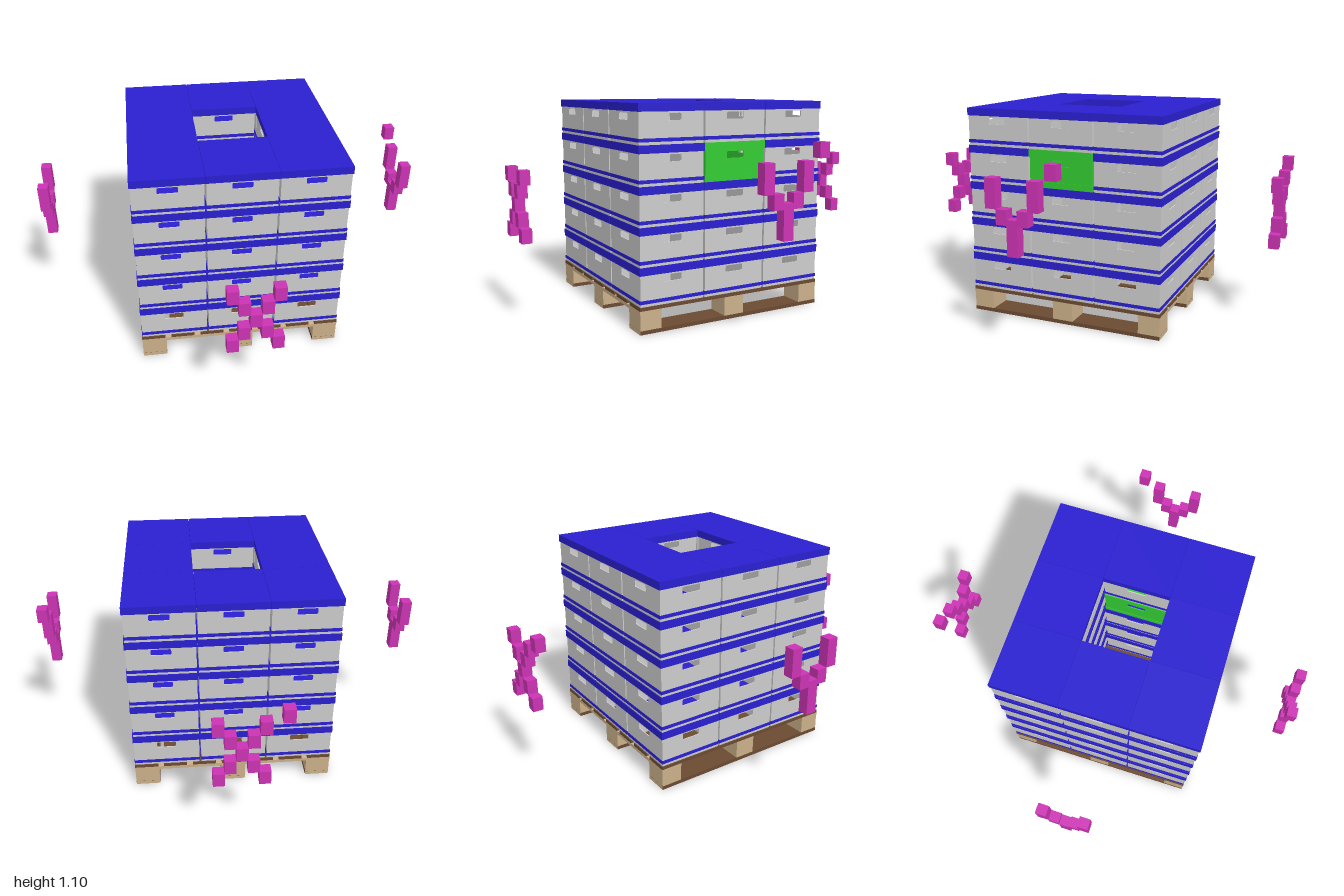
import * as THREE from 'three';
import { mergeGeometries } from 'three/addons/utils/BufferGeometryUtils.js';

const mat = (name, color, side = THREE.FrontSide) => {
  const m = new THREE.MeshStandardMaterial({ color, side });
  m.name = name;
  return m;
};

const PITCH = 0.354;      // spacing of box columns
const LAYER = 0.193;      // height of one box with lid
const BASE = 0.136;       // top of the pallet
const WALL = 0.006;

// Merged box list: each entry is [w, h, d, x, y, z]
const boxes = (list) => mergeGeometries(list.map(([w, h, d, x, y, z]) =>
  new THREE.BoxGeometry(w, h, d).translate(x, y, z)));

// Four crate walls, each with a rounded hand hole
function crateGeometry(size, height) {
  const wall = (w) => {
    const s = new THREE.Shape();
    s.moveTo(-w / 2, 0); s.lineTo(w / 2, 0); s.lineTo(w / 2, height); s.lineTo(-w / 2, height);
    s.closePath();
    const hx = 0.05, y0 = 0.112, y1 = 0.146, r = 0.007;
    const h = new THREE.Path();
    h.moveTo(-hx + r, y0);
    h.lineTo(hx - r, y0); h.quadraticCurveTo(hx, y0, hx, y0 + r);
    h.lineTo(hx, y1 - r); h.quadraticCurveTo(hx, y1, hx - r, y1);
    h.lineTo(-hx + r, y1); h.quadraticCurveTo(-hx, y1, -hx, y1 - r);
    h.lineTo(-hx, y0 + r); h.quadraticCurveTo(-hx, y0, -hx + r, y0);
    s.holes.push(h);
    return new THREE.ExtrudeGeometry(s, { depth: WALL, bevelEnabled: false, curveSegments: 3 });
  };
  return mergeGeometries([0, 1, 2, 3].map((i) =>
    wall(i % 2 ? size - 2 * WALL : size).translate(0, 0, size / 2 - WALL).rotateY(i * Math.PI / 2)));
}

// Thin strap around the foot of a crate
function bandGeometry(size) {
  const t = 0.003, o = size / 2 + t / 2, h = 0.017, y = 0.0225;
  return boxes([
    [size + 2 * t, h, t, 0, y, o], [size + 2 * t, h, t, 0, y, -o],
    [t, h, size, o, y, 0], [t, h, size, -o, y, 0],
  ]);
}

export function createModel() {
  const grey = mat('crate grey', 0xcccccc);
  const blue = mat('lid blue', 0x2a1fd0);
  const green = mat('marked crate green', 0x33cc33);
  const magenta = mat('marker magenta', 0xcc33b4);
  const brown = mat('dark wood', 0x6b4a32);
  const tan = mat('light wood', 0xcbb08a);

  const root = new THREE.Group();
  root.name = 'palletLoad';
  const model = new THREE.Group();
  model.name = 'load';
  model.position.set(0.01, 0.0, 0.02);
  model.rotation.y = -0.015;
  root.add(model);

  const add = (parent, name, geo, material, x = 0, y = 0, z = 0) => {
    const m = new THREE.Mesh(geo, material);
    m.name = name;
    m.position.set(x, y, z);
    parent.add(m);
    return m;
  };

  // Pallet: runners, blocks, cross boards and deck boards
  const pallet = new THREE.Group();
  pallet.name = 'pallet';
  model.add(pallet);
  const xs = [-0.465, 0, 0.465], zs = [-0.473, 0, 0.473];
  const runner = new THREE.BoxGeometry(0.128, 0.02, 1.06);
  for (const x of xs) {
    add(pallet, 'runner', runner, [brown, brown, brown, brown, tan, tan], x, 0.01, 0);
    for (const z of zs) {
      add(pallet, 'block', new THREE.BoxGeometry(0.128, 0.08, 0.112), tan, x, 0.06, z);
    }
  }
  for (const z of zs) {
    add(pallet, 'crossBoard', new THREE.BoxGeometry(1.06, 0.018, 0.114), tan, 0, 0.109, z);
  }
  for (let i = -3; i <= 3; i++) {
    add(pallet, 'deckBoard', new THREE.BoxGeometry(0.124, 0.017, 1.06), brown, i * 0.156, 0.1265, 0);
  }

  // Five layers of eight lidded crates around an open shaft
  const bodyGeo = crateGeometry(0.344, 0.155);
  const bandGeo = bandGeometry(0.344);
  const lidGeo = new THREE.BoxGeometry(0.3525, 0.039, 0.3525);
  for (let k = 0; k < 5; k++) {
    for (let i = -1; i <= 1; i++) {
      for (let j = -1; j <= 1; j++) {
        if (i === 0 && j === 0) continue;
        const marked = k === 3 && i === 1 && j === 0;
        const crate = new THREE.Group();
        crate.name = marked ? 'markedCrate' : 'crate';
        crate.position.set(i * PITCH, BASE + k * LAYER, j * PITCH);
        add(crate, 'crateBody', bodyGeo, marked ? green : grey);
        add(crate, 'crateBand', bandGeo, marked ? green : blue);
        add(crate, 'crateLid', lidGeo, marked ? green : blue, 0, 0.1735, 0);
        model.add(crate);
      }
    }
  }

  // Floating side markers made of small blocks: [column, y, height]
  const H = 0.0725, U = 0.0535;
  const cross = [[0, 0.596, H]];
  for (const s of [-1, 1]) {
    for (const r of [-2, -1, 1, 2]) cross.push([s * Math.abs(r), 0.596 + r * 0.072, H]);
  }
  const fork = [[0, 0.5805, 0.171]];
  for (const s of [-1, 1]) fork.push([s, 0.674, H], [2 * s, 0.779, 0.14]);

  const marker = (name, cells, x, z, angle) => {
    const geo = boxes(cells.map(([c, y, h]) => [0.055, h, 0.052, c * U, y, 0]));
    add(root, name, geo, magenta, x, 0, z).rotation.y = angle - 0.015;
  };
  marker('frontMarker', cross, -0.005, 0.967, 0);
  marker('backMarker', [...cross, [3.85, 0.8, H]], 0.03, -0.971, Math.PI);
  marker('leftMarker', [...fork, [3.65, 0.893, H]], 0.967, 0.046, Math.PI / 2);
  marker('rightMarker', fork, -0.972, -0.007, -Math.PI / 2);

  return root;
}
